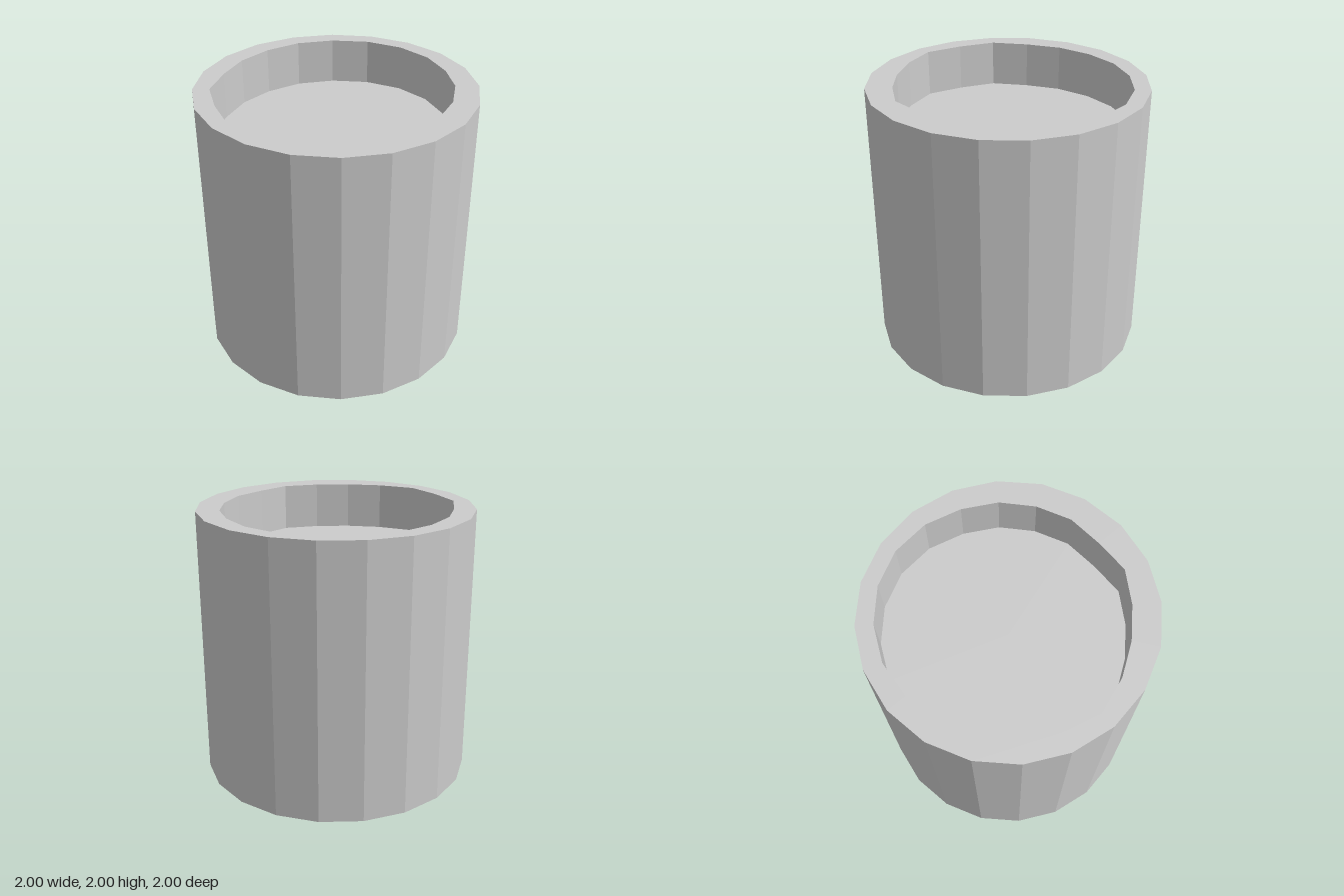
import * as THREE from 'three';

const SIDES = 20;
const HEIGHT = 2;
const FLOOR = 1.66;

// Radius of the uneven recess at each 18 degree step, from the front towards +x
const RECESS = [
  0.794, 0.814, 0.819, 0.832, 0.842, 0.867, 0.883, 0.884, 0.877, 0.871,
  0.856, 0.848, 0.841, 0.88, 0.862, 0.888, 0.838, 0.809, 0.807, 0.832,
];

// Ring of corners at height y; radius is a function of the step
function ring(y, radius) {
  return Array.from({ length: SIDES }, (_, k) => {
    const a = (k / SIDES) * Math.PI * 2;
    return [radius(k) * Math.sin(a), y, radius(k) * Math.cos(a)];
  });
}

// Flat-shaded strip joining two rings; a ring of radius 0 makes a cap
function band(name, a, b, material) {
  const isPoint = (r) => r.every(([x, , z]) => x === 0 && z === 0);
  const positions = [];
  for (let k = 0; k < SIDES; k++) {
    const n = (k + 1) % SIDES;
    if (!isPoint(a)) positions.push(...a[k], ...a[n], ...b[n]);
    if (!isPoint(b)) positions.push(...a[k], ...b[n], ...b[k]);
  }
  const geometry = new THREE.BufferGeometry();
  geometry.setAttribute('position', new THREE.Float32BufferAttribute(positions, 3));
  geometry.computeVertexNormals();
  const mesh = new THREE.Mesh(geometry, material);
  mesh.name = name;
  return mesh;
}

export function createModel() {
  const group = new THREE.Group();
  group.name = 'cup';
  const material = new THREE.MeshStandardMaterial({ color: 0xcccccc, flatShading: true });

  const centre = () => 0;
  const outer = () => 1;
  const inner = (k) => RECESS[k];

  // Rings from the underside, up the outside, over the rim and into the recess
  const rings = [
    ring(0, centre), ring(0, outer), ring(HEIGHT, outer),
    ring(HEIGHT, inner), ring(FLOOR, inner), ring(FLOOR, centre),
  ];
  ['base', 'outerWall', 'rim', 'recessWall', 'recessFloor'].forEach((name, i) => {
    group.add(band(name, rings[i], rings[i + 1], material));
  });
  return group;
}
